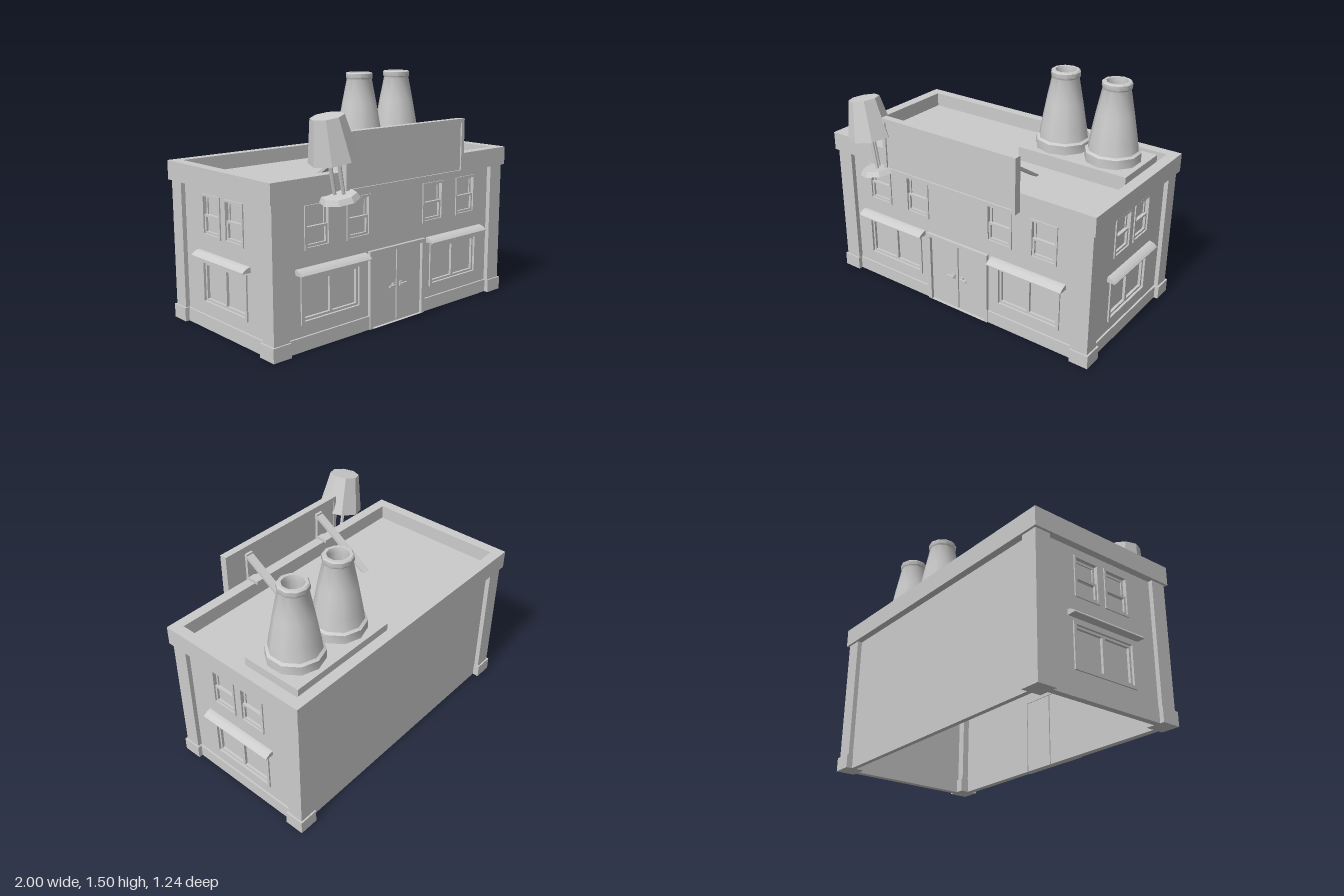
import * as THREE from 'three';
import { toCreasedNormals } from 'three/addons/utils/BufferGeometryUtils.js';

const grey = new THREE.MeshStandardMaterial({ color: 0xcccccc, side: THREE.DoubleSide });
const flat = new THREE.MeshStandardMaterial({ color: 0xcccccc, flatShading: true });

function add(parent, name, geometry, material = grey) {
  const mesh = new THREE.Mesh(geometry, material);
  mesh.name = name;
  parent.add(mesh);
  return mesh;
}

// Box given by its limits on each axis
function box(parent, name, x0, x1, y0, y1, z0, z1) {
  const mesh = add(parent, name, new THREE.BoxGeometry(x1 - x0, y1 - y0, z1 - z0));
  mesh.position.set((x0 + x1) / 2, (y0 + y1) / 2, (z0 + z1) / 2);
  return mesh;
}

function rectPath(Type, x0, x1, y0, y1) {
  return new Type([[x0, y0], [x1, y0], [x1, y1], [x0, y1]].map(p => new THREE.Vector2(...p)));
}

// Rectangular panel with rectangular holes, extruded from z0 to z1
function panel(parent, name, rect, holes, z0, z1) {
  const shape = rectPath(THREE.Shape, ...rect);
  shape.holes = holes.map(h => rectPath(THREE.Path, ...h));
  const geometry = new THREE.ExtrudeGeometry(shape, { depth: z1 - z0, bevelEnabled: false });
  return add(parent, name, geometry.translate(0, 0, z0));
}

const inset = ([x0, x1, y0, y1], d) => [x0 + d, x1 - d, y0 + d, y1 - d];

// Double-hung upper window
function sashWindow(parent, r) {
  const g = new THREE.Group();
  g.name = 'sashWindow';
  parent.add(g);
  const inner = inset(r, 0.014), mid = 0.71;
  panel(g, 'windowFrame', r, [inner], -0.03, 0.008);
  const upper = [inner[0], inner[1], mid - 0.01, inner[3]];
  const lower = [inner[0], inner[1], inner[2], mid + 0.005];
  panel(g, 'upperSash', upper, [inset(upper, 0.014)], -0.028, -0.016);
  panel(g, 'lowerSash', lower, [inset(lower, 0.014)], -0.016, -0.002);
  box(g, 'glass', ...inner, -0.03, -0.024);
}

// Wide shop window with a centre mullion
function shopWindow(parent, r) {
  const g = new THREE.Group();
  g.name = 'shopWindow';
  parent.add(g);
  const inner = inset(r, 0.02), c = (r[0] + r[1]) / 2;
  panel(g, 'windowFrame', r, [inner], -0.03, 0.01);
  panel(g, 'panes', inner, [[inner[0] + 0.014, c - 0.01, inner[2] + 0.014, inner[3] - 0.014],
    [c + 0.01, inner[1] - 0.014, inner[2] + 0.014, inner[3] - 0.014]], -0.025, -0.005);
  box(g, 'glass', ...inner, -0.03, -0.022);
}

// Curved canopy, profile drawn as (outward, up)
function awning(parent, x, reach) {
  const s = new THREE.Shape();
  s.moveTo(-0.03, 0.455);
  s.lineTo(reach, 0.455);
  s.lineTo(reach, 0.46);
  s.quadraticCurveTo(reach * 0.6, 0.486, 0, 0.488);
  s.lineTo(-0.03, 0.488);
  const w = 0.53;
  const geometry = new THREE.ExtrudeGeometry(s, { depth: w, bevelEnabled: false, curveSegments: 6 });
  geometry.rotateY(-Math.PI / 2).translate(x + w / 2, 0, 0);
  add(parent, 'awning', toCreasedNormals(geometry, 0.6));
}

// Wall with windows; its outer face lies at z = 0
function facade(parent, name, half, uppers, lowers, reach, extraHoles = []) {
  const g = new THREE.Group();
  g.name = name;
  parent.add(g);
  const up = uppers.map(x => [x - 0.093, x + 0.093, 0.585, 0.84]);
  const low = lowers.map(x => [x - 0.23, x + 0.23, 0.155, 0.435]);
  panel(g, 'wall', [-half, half, 0, 0.9], [...up, ...low, ...extraHoles], -0.03, 0);
  up.forEach(r => sashWindow(g, r));
  low.forEach(r => shopWindow(g, r));
  lowers.forEach(x => awning(g, x, reach));
  return g;
}

function doubleDoor(parent) {
  const g = new THREE.Group();
  g.name = 'doubleDoor';
  parent.add(g);
  const frame = rectPath(THREE.Shape, -0.24, 0.24, 0, 0.49);
  frame.holes.push(rectPath(THREE.Path, -0.213, 0.213, 0.0005, 0.467));
  add(g, 'doorFrame', new THREE.ExtrudeGeometry(frame, { depth: 0.05, bevelEnabled: false }).translate(0, 0, -0.03));
  for (const s of [-1, 1]) {
    const leaf = new THREE.Group();
    leaf.name = 'doorLeaf';
    g.add(leaf);
    box(leaf, 'leaf', ...(s < 0 ? [-0.213, -0.004] : [0.004, 0.213]), 0, 0.467, -0.025, 0);
    const plate = box(leaf, 'handlePlate', -0.009, 0.009, 0.22, 0.25, 0, 0.012);
    plate.position.x = s * 0.033;
    const lever = box(leaf, 'handleLever', -0.025, 0.025, 0.229, 0.241, 0.012, 0.024);
    lever.position.x = s * 0.05;
  }
}

function chimney(parent, x, z) {
  const profile = [[0.175, 1], [0.175, 1.06], [0.157, 1.07], [0.147, 1.14], [0.118, 1.3], [0.087, 1.455],
    [0.093, 1.465], [0.093, 1.492], [0.085, 1.5], [0.066, 1.5], [0.06, 1.47], [0.075, 1.35], [0, 1.35]];
  const geometry = new THREE.LatheGeometry(profile.map(p => new THREE.Vector2(...p)), 10);
  add(parent, 'chimney', toCreasedNormals(geometry, 0.75)).position.set(x, 0, z);
}

function signboard(parent) {
  const g = new THREE.Group();
  g.name = 'signboard';
  parent.add(g);
  const r = [-0.51, 0.49, 0.885, 1.237];
  panel(g, 'signFrame', r, [inset(r, 0.025)], 0.425, 0.473);
  box(g, 'signFace', ...inset(r, 0.025), 0.43, 0.463);
  // Braces from the roof up to the back of the sign
  for (const x of [-0.328, 0.31]) {
    const dz = 0.43, dy = 0.28;
    const brace = add(g, 'brace', new THREE.BoxGeometry(0.052, 0.018, Math.hypot(dz, dy)));
    brace.position.set(x, 1.042, 0.213);
    brace.rotation.x = -Math.atan2(dy, dz);
    box(g, 'bracePost', x - 0.026, x + 0.026, 1, 1.19, 0.408, 0.426);
    box(g, 'braceArm', x - 0.026, x + 0.026, 1.003, 1.025, 0.33, 0.426);
  }
}

function deskLamp(parent) {
  const lamp = new THREE.Group();
  lamp.name = 'lamp';
  lamp.position.set(-0.56, 0.878, 0.47);
  lamp.rotation.z = 0.19;
  parent.add(lamp);
  const cyl = (name, rt, rb, y0, y1, n) => {
    const m = add(lamp, name, new THREE.CylinderGeometry(rt, rb, y1 - y0, n), flat);
    m.position.y = (y0 + y1) / 2;
    return m;
  };
  cyl('lampBase', 0.1, 0.118, -0.016, 0.016, 8);
  for (const s of [-1, 1]) {
    const stem = cyl('lampStem', 0.013, 0.01, 0, 0.26, 6);
    stem.position.set(s * 0.014, 0.13, s * 0.022);
  }
  cyl('lampShade', 0.096, 0.145, 0.218, 0.465, 8);
}

export function createModel() {
  const model = new THREE.Group();
  model.name = 'shopBuilding';
  const building = new THREE.Group();
  building.name = 'building';
  building.position.set(-0.01, 0, -0.1);
  model.add(building);

  // Front wall with the door and skirting either side
  const front = facade(building, 'frontWall', 0.945, [-0.635, -0.32, 0.32, 0.635], [-0.53, 0.53], 0.06,
    [[-0.225, 0.225, 0.001, 0.48]]);
  front.position.z = 0.475;
  doubleDoor(front);
  for (const s of [-1, 1]) {
    box(front, 'skirting', -0.31, 0.31, 0, 0.085, 0, 0.012).position.x = s * 0.55;
    const side = facade(building, s > 0 ? 'leftWall' : 'rightWall', 0.475, [-0.115, 0.115], [0], 0.055);
    side.position.x = s * 0.945;
    side.rotation.y = s * Math.PI / 2;
    box(side, 'skirting', -0.42, 0.42, 0, 0.085, 0, 0.012);
  }
  box(building, 'backWall', -0.945, 0.945, 0, 0.9, -0.475, -0.445);

  // Corner pillars with wider feet
  for (const sx of [-1, 1]) for (const sz of [-1, 1]) {
    const pillar = box(building, 'cornerPillar', -0.055, 0.055, 0, 0.89, -0.052, 0.052);
    pillar.position.set(sx * 0.918, 0.445, sz * 0.453);
    const foot = box(building, 'pillarFoot', -0.0625, 0.0625, 0, 0.087, -0.0625, 0.0625);
    foot.position.set(sx * 0.922, 0.0435, sz * 0.453);
  }

  // Parapet ring and sunken roof
  const parapet = panel(building, 'parapet', [-0.99, 0.99, -0.52, 0.52], [[-0.92, 0.92, -0.453, 0.453]], 0, 0.12);
  parapet.rotation.x = -Math.PI / 2;
  parapet.position.y = 0.885;
  box(building, 'roof', -0.94, 0.94, 0.888, 0.912, -0.47, 0.47);

  // Rooftop fittings
  box(model, 'chimneyPlinth', 0.105, 0.865, 0.9, 1.002, -0.515, -0.11);
  chimney(model, 0.31, -0.31);
  chimney(model, 0.665, -0.31);
  signboard(model);
  deskLamp(model);
  return model;
}
